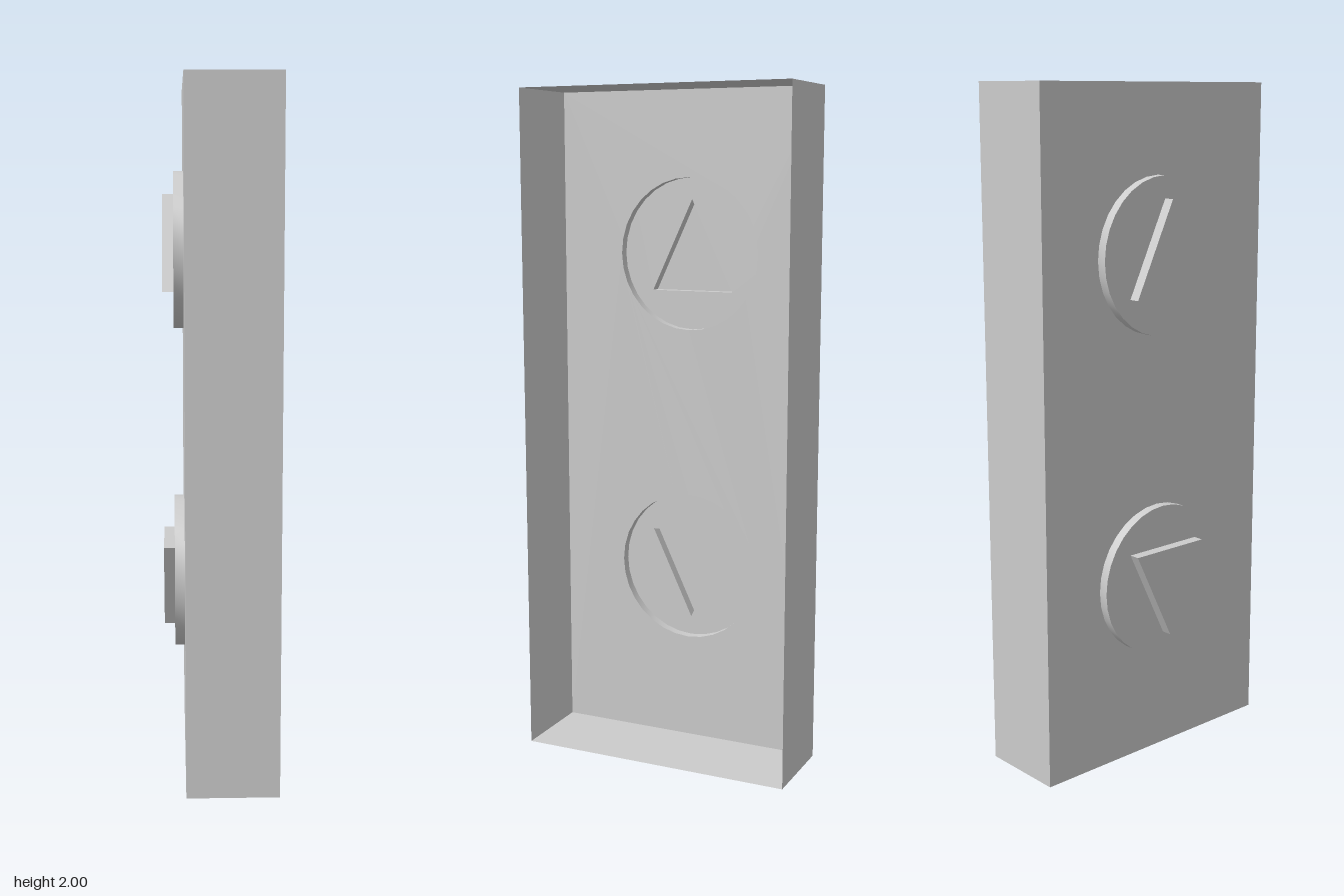
import * as THREE from 'three';
import { toCreasedNormals } from 'three/addons/utils/BufferGeometryUtils.js';

const material = new THREE.MeshStandardMaterial({ color: 0xcccccc, side: THREE.DoubleSide });

// Depths measured outwards towards -x: open rim, plate, button face, arrow face
const RIM = -0.163, PLATE = 0.102, BUTTON = 0.131, ARROW = 0.163;

// Outlines are counter-clockwise lists of (z, y) points
const rectangle = [[-0.42, 0], [0.42, 0], [0.42, 2], [-0.42, 2]].map(p => new THREE.Vector2(...p));

function circle(cy) {
  const points = [];
  for (let i = 0; i < 32; i++) {
    const a = i / 32 * Math.PI * 2;
    points.push(new THREE.Vector2(0.224 * Math.cos(a), cy + 0.228 * Math.sin(a)));
  }
  return points;
}

function triangle(baseY, tipY) {
  const points = [[-0.13, baseY], [0.132, baseY], [0.002, tipY]].map(p => new THREE.Vector2(...p));
  return tipY > baseY ? points : points.reverse();
}

// Flat sheet at one depth, with openings cut out
function sheet(name, outline, depth, holes = []) {
  const shape = new THREE.Shape(outline);
  shape.holes = holes.map(h => new THREE.Path(h));
  const geometry = new THREE.ShapeGeometry(shape).translate(0, 0, depth);
  const mesh = new THREE.Mesh(geometry, material);
  mesh.name = name;
  return mesh;
}

// Open band of side walls following an outline between two depths
function band(name, outline, d0, d1) {
  const positions = [];
  outline.forEach((a, i) => {
    const b = outline[(i + 1) % outline.length];
    positions.push(a.x, a.y, d0, b.x, b.y, d0, b.x, b.y, d1);
    positions.push(a.x, a.y, d0, b.x, b.y, d1, a.x, a.y, d1);
  });
  const geometry = new THREE.BufferGeometry();
  geometry.setAttribute('position', new THREE.Float32BufferAttribute(positions, 3));
  geometry.computeVertexNormals();
  const mesh = new THREE.Mesh(toCreasedNormals(geometry, 0.5), material);
  mesh.name = name;
  return mesh;
}

export function createModel() {
  const model = new THREE.Group();
  model.name = 'buttonPanel';

  const buttons = [
    { name: 'upButton', disc: circle(1.517), arrow: triangle(1.405, 1.68) },
    { name: 'downButton', disc: circle(0.55), arrow: triangle(0.652, 0.38) },
  ];

  // Hollow housing, open at the +x side
  model.add(
    band('housingWalls', rectangle, RIM, PLATE),
    sheet('facePlate', rectangle, PLATE, buttons.map(b => b.disc)),
  );

  // Hollow raised buttons, each with a hollow raised arrow
  for (const { name, disc, arrow } of buttons) {
    const button = new THREE.Group();
    button.name = name;
    button.add(
      band('buttonRim', disc, PLATE, BUTTON),
      sheet('buttonFace', disc, BUTTON, [arrow]),
      band('arrowWalls', arrow, BUTTON, ARROW),
      sheet('arrowFace', arrow, ARROW),
    );
    model.add(button);
  }

  // Turn the outlines so that they face -x
  model.rotation.y = -Math.PI / 2;
  const root = new THREE.Group();
  root.add(model);
  return root;
}
